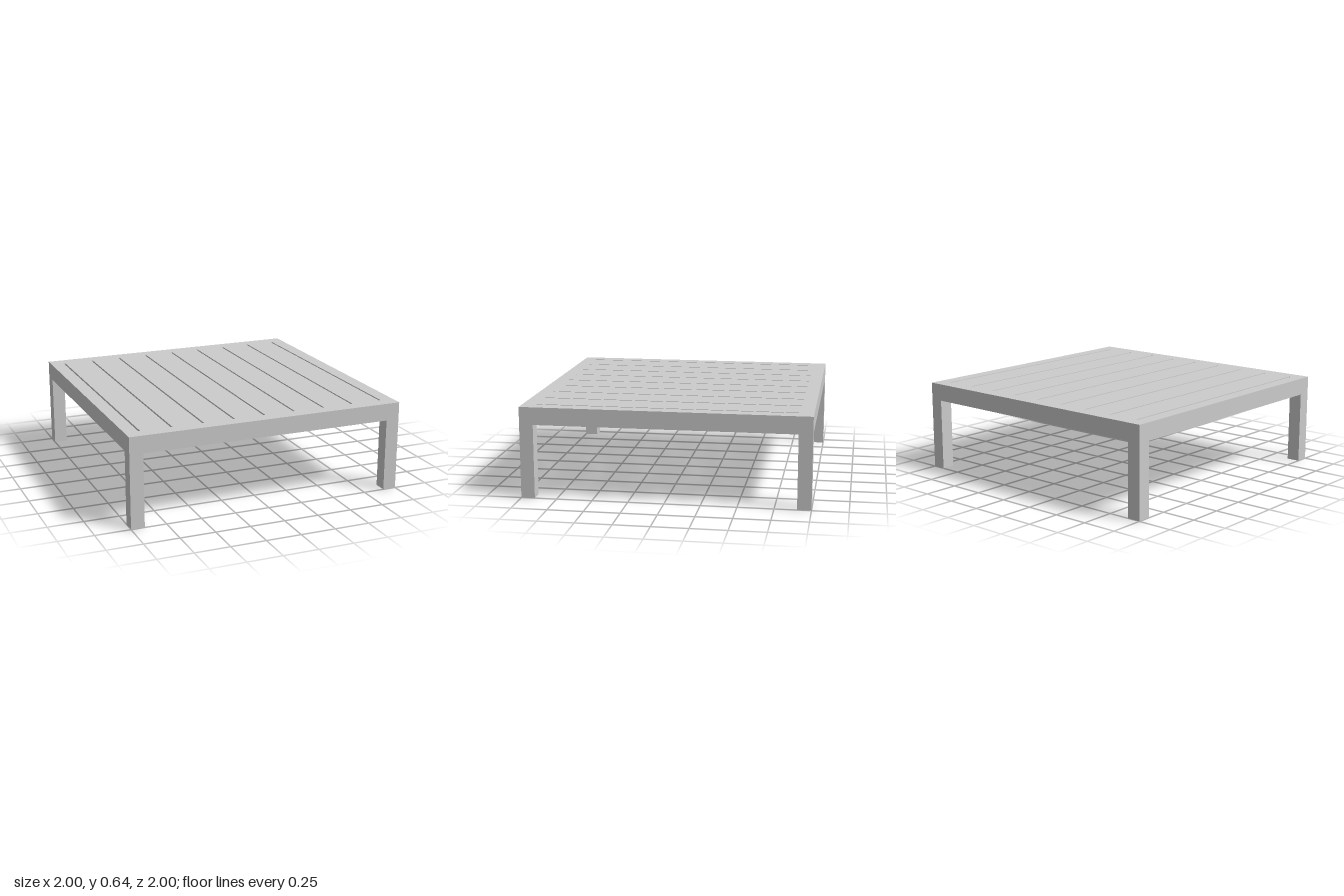
import * as THREE from 'three';

const HEIGHT = 0.642, APRON_BOTTOM = 0.519; // frame top and underside
const BAR = 0.096;                          // width of frame bars and legs
const SLATS = 8, GAP = 0.013, SLAT_T = 0.036;

export function createModel() {
  const group = new THREE.Group();
  const material = new THREE.MeshStandardMaterial({ color: 0xcccccc, flatShading: true });

  const add = (name, geometry, x, y, z) => {
    const mesh = new THREE.Mesh(geometry, material);
    mesh.name = name;
    mesh.position.set(x, y, z);
    group.add(mesh);
  };

  // Square frame, open in the middle
  const inner = 1 - BAR;
  const square = (path, r) => path.moveTo(-r, -r).lineTo(r, -r).lineTo(r, r).lineTo(-r, r).closePath();
  const outline = square(new THREE.Shape(), 1);
  outline.holes.push(square(new THREE.Path(), inner));
  const frame = new THREE.ExtrudeGeometry(outline, { depth: HEIGHT - APRON_BOTTOM, bevelEnabled: false });
  frame.rotateX(-Math.PI / 2);
  add('frame', frame, 0, APRON_BOTTOM, 0);

  // Square legs, flush with the frame corners
  const leg = new THREE.BoxGeometry(BAR, APRON_BOTTOM, BAR);
  const c = 1 - BAR / 2;
  for (const [sz, end] of [[1, 'front'], [-1, 'back']])
    for (const [sx, side] of [[1, 'Left'], [-1, 'Right']])
      add(`${end}${side}Leg`, leg, sx * c, APRON_BOTTOM / 2, sz * c);

  // Thin slats flush with the frame top, with a gap on each side
  const width = (2 * inner - (SLATS + 1) * GAP) / SLATS;
  const slat = new THREE.BoxGeometry(width, SLAT_T, 2 * inner);
  for (let i = 0; i < SLATS; i++)
    add(`slat${i + 1}`, slat, (i - (SLATS - 1) / 2) * (width + GAP), HEIGHT - SLAT_T / 2, 0);

  return group;
}
